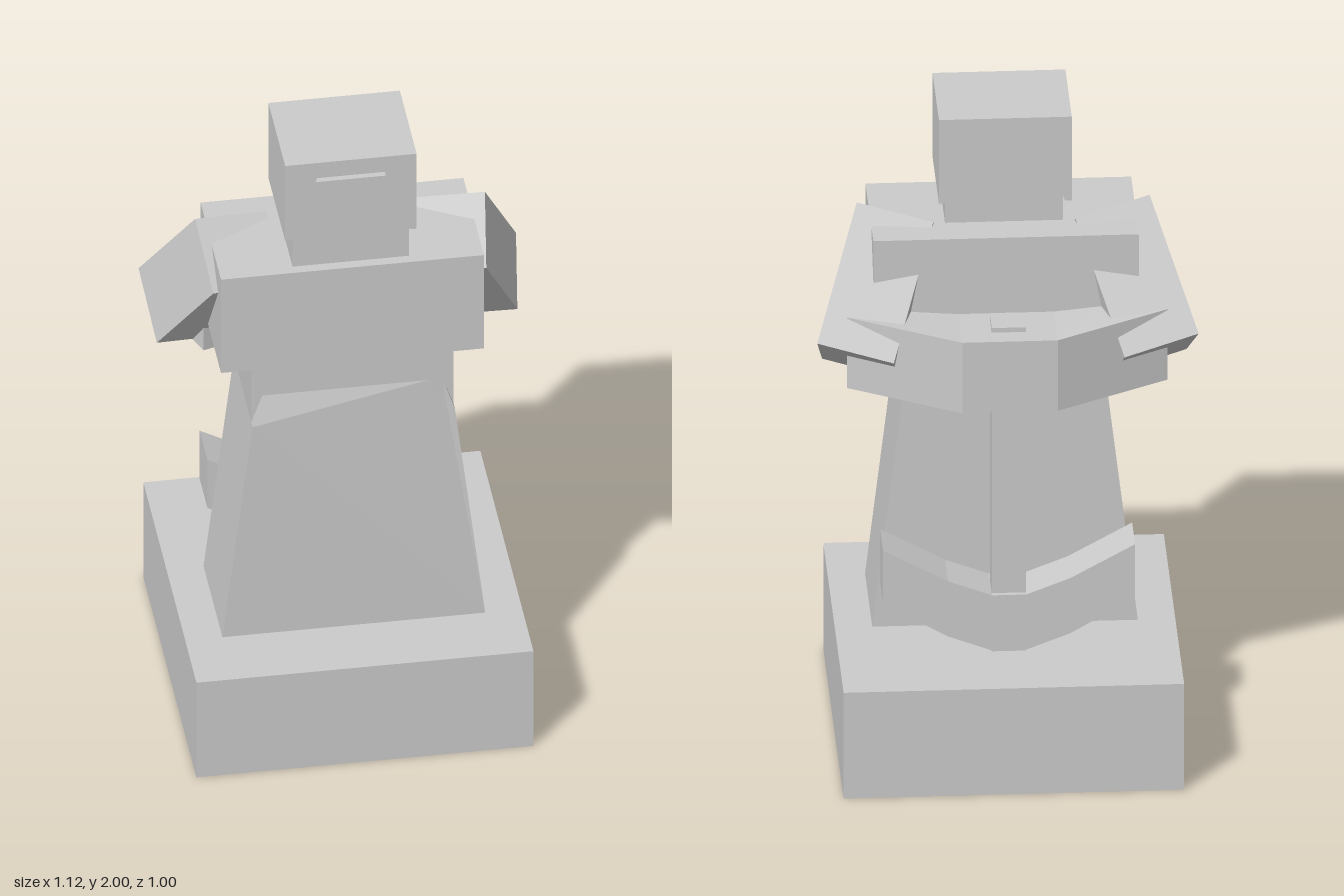
import * as THREE from 'three';

const mat = new THREE.MeshStandardMaterial({ color: 0xcccccc, flatShading: true });

export function createModel() {
  const model = new THREE.Group();

  const add = (name, geometry) => {
    const mesh = new THREE.Mesh(geometry, mat);
    mesh.name = name;
    model.add(mesh);
    return mesh;
  };
  // Box given by its limits on each axis
  const block = (name, [x0, x1], [y0, y1], [z0, z1]) =>
    add(name, new THREE.BoxGeometry(x1 - x0, y1 - y0, z1 - z0)
      .translate((x0 + x1) / 2, (y0 + y1) / 2, (z0 + z1) / 2));
  const outline = (pts) => new THREE.Shape(pts.map(([x, y]) => new THREE.Vector2(x, y)));
  const mirrored = (pts) => [...pts].reverse().map(([x, y]) => [-x, y]);
  // Outline in x,y extruded from z0 to z1
  const slab = (pts, z0, z1) =>
    new THREE.ExtrudeGeometry(outline(pts), { depth: z1 - z0, bevelEnabled: false }).translate(0, 0, z0);
  const moveVertices = (geometry, rule) => {
    const p = geometry.attributes.position;
    const v = new THREE.Vector3();
    for (let i = 0; i < p.count; i++) {
      rule(v.fromBufferAttribute(p, i));
      p.setXYZ(i, v.x, v.y, v.z);
    }
    geometry.computeVertexNormals();
    return geometry;
  };

  // Plinth
  block('plinth', [-0.5, 0.5], [0, 0.345], [-0.5, 0.5]);

  // Flared robe, chamfered in at the waist
  const robeSide = [[0.39, 0.345], [0.3, 1.1], [0.265, 1.2]];
  const robe = slab([...robeSide, ...mirrored(robeSide)], -0.065, 0.29);
  add('robe', moveVertices(robe, (v) => {
    if (v.y > 1.15 && v.z > 0) v.z = 0.262;
  }));

  // Body
  block('waist', [-0.3, 0.3], [1.03, 1.3], [-0.08, 0.264]);
  block('chest', [-0.39, 0.39], [1.29, 1.63], [-0.12, 0.265]);

  // Head inside a hood that is open towards -z
  block('neckAndFace', [-0.173, 0.173], [1.62, 1.93], [-0.01, 0.234]);
  const hoodSide = [[0.175, 1.727], [0.195, 1.727], [0.195, 2]];
  add('hood', slab([
    ...hoodSide, ...mirrored(hoodSide),
    [-0.1, 1.945], [0.1, 1.945],
  ], -0.08, 0.235));

  // Arms meeting in a block of joined hands
  block('hands', [-0.14, 0.14], [1.155, 1.385], [-0.312, -0.115]);
  for (const side of [1, -1]) {
    const name = side > 0 ? 'left' : 'right';

    // Upper arm: square bar slanting outwards, down and towards the hands
    const across = new THREE.Vector3(-0.025 * side, -0.14, 0.185).normalize();
    const along = new THREE.Vector3(0.13 * side, -0.34, -0.24).normalize();
    const out = new THREE.Vector3().crossVectors(across, along);
    const upper = new THREE.BoxGeometry(0.233, 0.233, 0.436);
    upper.applyMatrix4(new THREE.Matrix4().makeBasis(out, across, along)
      .setPosition(0.372 * side, 1.424, -0.028));
    add(name + 'UpperArm', upper);

    // Forearm: plan outline raised into a prism, rising slightly to the elbow
    const plan = [[0.14, 0.312], [0.47, 0.175], [0.4, 0], [0.14, 0.115]];
    const forearm = slab(plan.map(([x, y]) => [x * side, y]), 1.155, 1.385).rotateX(-Math.PI / 2);
    add(name + 'Forearm', moveVertices(forearm, (v) => {
      if (Math.abs(v.x) > 0.2) v.y += 0.025;
    }));
  }

  // Tool held upright: shaft and curved head resting near the plinth
  block('toolShaft', [-0.05, 0.05], [0.345, 1.4], [-0.25, -0.15]);
  const lower = [[0.05, 0.355], [0.18, 0.405], [0.37, 0.515]];
  const upperEdge = [[0.37, 0.69], [0.18, 0.585], [0.05, 0.535]];
  const half = [...lower, ...upperEdge];
  add('toolHead', slab([...half, ...mirrored(half)], -0.265, -0.12));

  return model;
}
